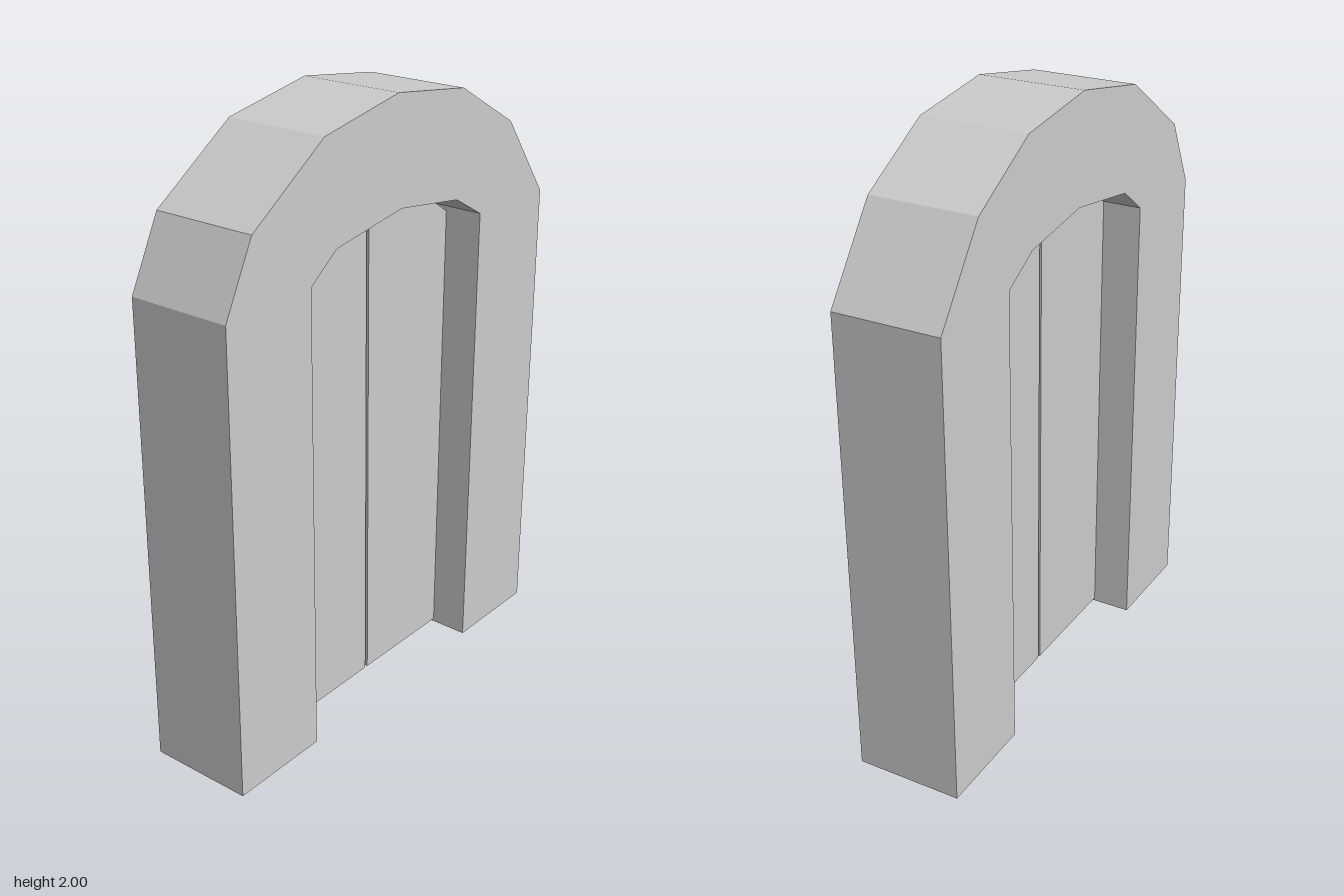
import * as THREE from 'three';

const material = new THREE.MeshStandardMaterial({ color: 0xcccccc, flatShading: true });

// Extrudes a [z, y] outline along x, from x = from to x = to
function slab(name, outline, from, to) {
  const shape = new THREE.Shape(outline.map(([z, y]) => new THREE.Vector2(-z, y)));
  const geometry = new THREE.ExtrudeGeometry(shape, { depth: to - from, bevelEnabled: false });
  geometry.rotateY(Math.PI / 2).translate(from, 0, 0);
  const mesh = new THREE.Mesh(geometry, material);
  mesh.name = name;
  return mesh;
}

export function createModel() {
  const group = new THREE.Group();
  group.name = 'archedDoorway';

  // Thick surround, slightly irregular, open at the bottom
  const outer = [
    [0.76, 0], [0.76, 1.52], [0.65, 1.74], [0.35, 1.94], [0.02, 2],
    [-0.3, 1.957], [-0.565, 1.805], [-0.76, 1.535], [-0.74, 0],
  ];
  const inner = [
    [-0.39, 0], [-0.41, 1.54], [-0.28, 1.615], [0, 1.655], [0.3, 1.61], [0.413, 1.527], [0.413, 0],
  ];
  group.add(slab('archFrame', [...outer, ...inner], -0.175, 0.175));

  // Two thin leaves set back in the opening, with a narrow gap between them
  const leafA = [[0.413, 0.01], [0.413, 1.525], [0.3, 1.608], [0.005, 1.647], [0.005, 0.01]];
  const leafB = [[-0.006, 0.01], [-0.006, 1.647], [-0.28, 1.609], [-0.406, 1.525], [-0.39, 0.01]];
  group.add(slab('frontDoorLeaf', leafA, -0.045, 0.048));
  group.add(slab('backDoorLeaf', leafB, -0.045, 0.048));

  return group;
}
